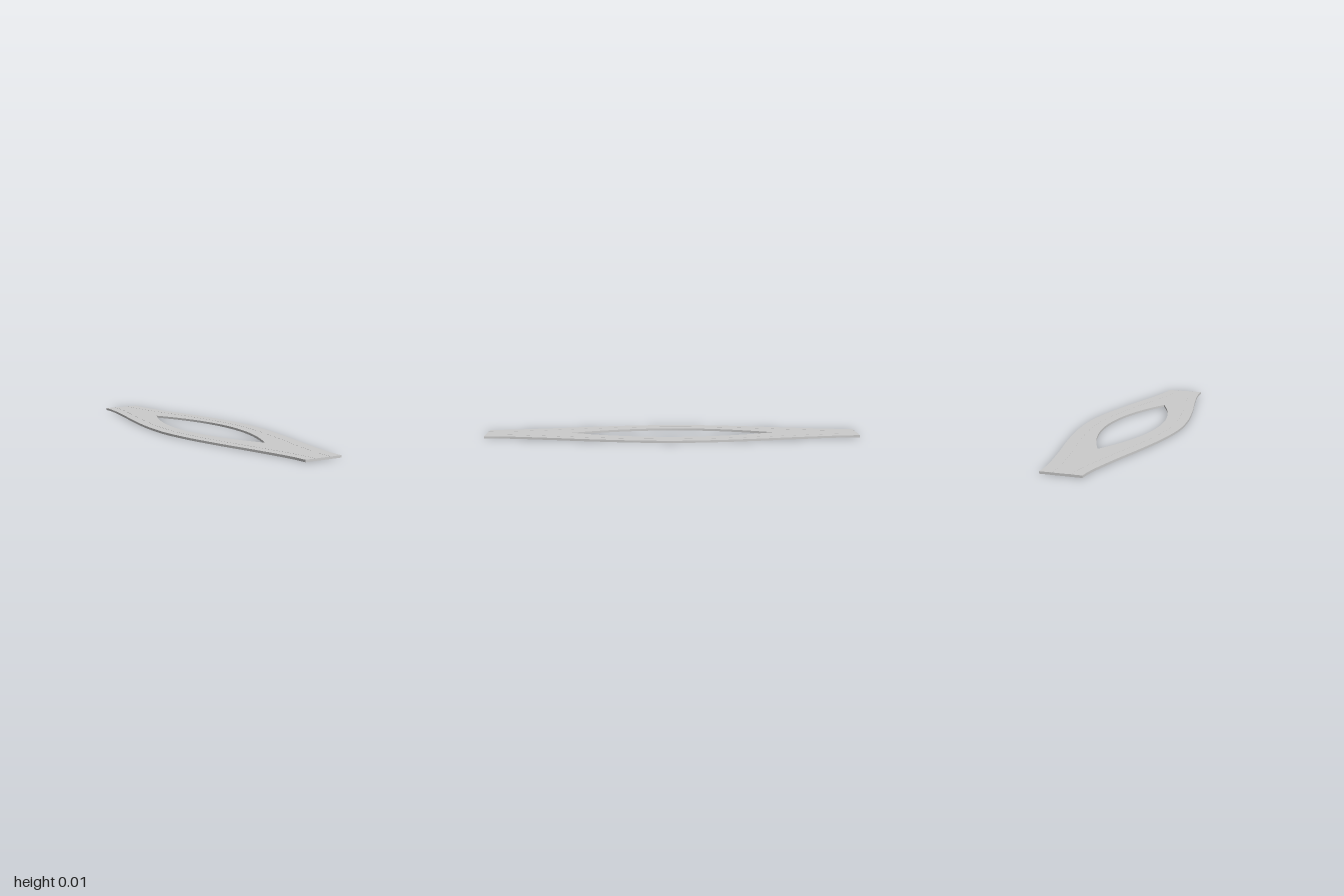
import * as THREE from 'three';

const THICK = 0.0115;

// Half outline of the slab, from the middle (z = 0) to one end (z = 1)
const HALF = [[0.261, 0], [0.253, 0.14], [0.235, 0.28], [0.197, 0.48],
  [0.165, 0.62], [0.128, 0.8], [0.109, 0.92], [0.105, 1]];

// Smooth side edge running from z = -1 to z = 1, moved inward by inset
function sideCurve(inset) {
  const back = HALF.slice(1).reverse().map(([x, z]) => [x, -z]);
  const points = [...back, ...HALF].map(([x, z]) => new THREE.Vector2(x - inset, z));
  return new THREE.SplineCurve(points).getPoints(56);
}

const mirrored = (points) => points.map((p) => new THREE.Vector2(-p.x, p.y)).reverse();

// Lay a shape flat and give it a height
function flatMesh(name, shape, bottom, height, material) {
  const geometry = new THREE.ExtrudeGeometry(shape, { depth: height, bevelEnabled: false });
  geometry.rotateX(-Math.PI / 2);
  const mesh = new THREE.Mesh(geometry, material);
  mesh.position.y = bottom;
  mesh.name = name;
  return mesh;
}

export function createModel() {
  const group = new THREE.Group();
  group.name = 'splitRoad';
  const material = new THREE.MeshStandardMaterial({ color: 0xcccccc });

  // Road slab that widens and splits around a pointed opening
  const edge = sideCurve(0);
  const road = new THREE.Shape([...edge, ...mirrored(edge)]);
  const inner = [];
  for (let i = 0; i <= 32; i++) {
    const t = -1 + i / 16;
    inner.push(new THREE.Vector2(0.139 * (1 - t * t), t * 0.545));
  }
  road.holes.push(new THREE.Path([...inner, ...mirrored(inner).slice(1, -1)]));
  group.add(flatMesh('roadSlab', road, 0, THICK, material));

  // Thin line along the middle of each branch
  const outside = sideCurve(0.056);
  const inside = sideCurve(0.064).reverse();
  const right = [...outside, ...inside];
  group.add(flatMesh('leftLaneLine', new THREE.Shape(right), THICK, 0.0006, material));
  group.add(flatMesh('rightLaneLine', new THREE.Shape(mirrored(right)), THICK, 0.0006, material));

  return group;
}
